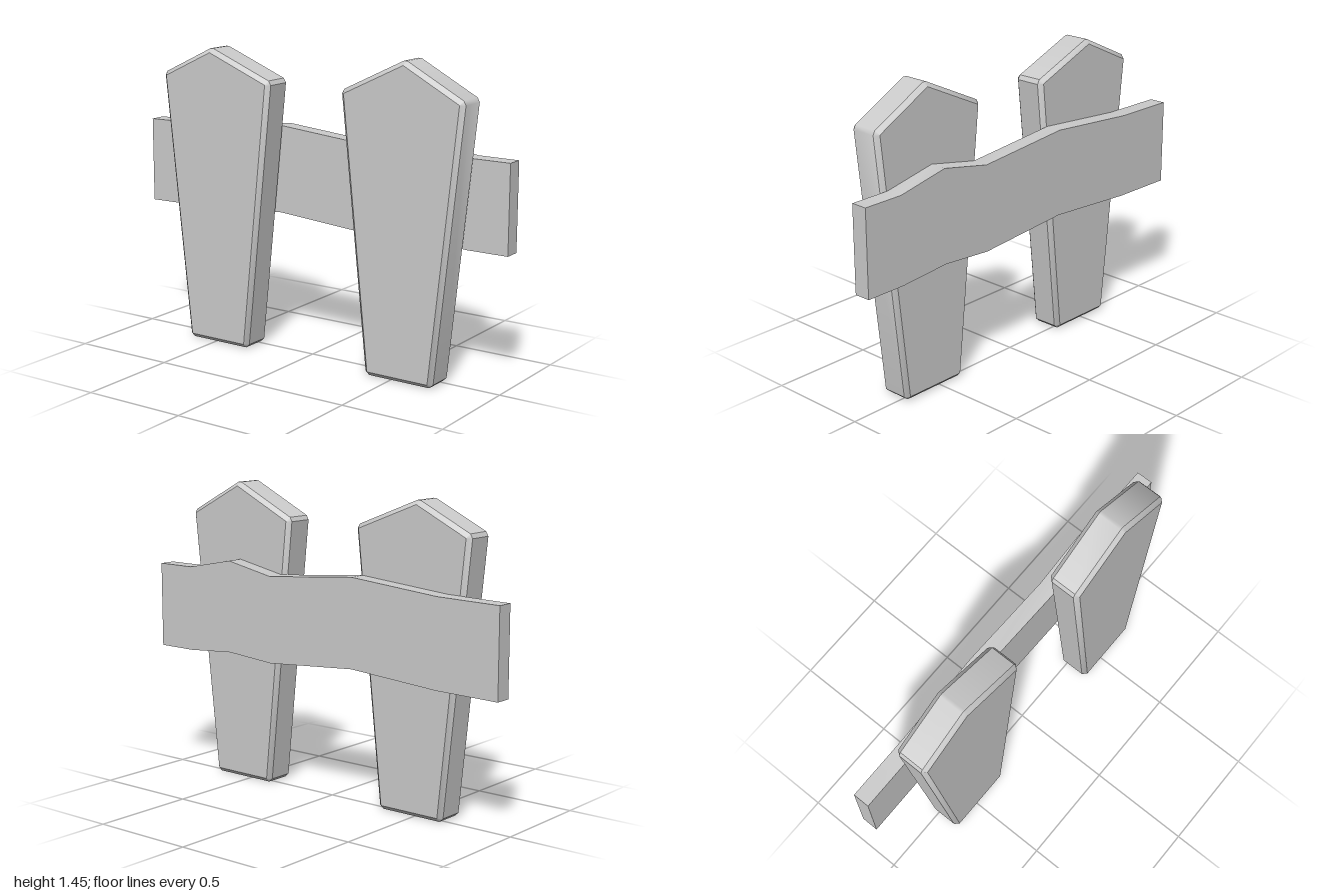
import * as THREE from 'three';
import { toCreasedNormals } from 'three/addons/utils/BufferGeometryUtils.js';
import { ConvexGeometry } from 'three/addons/geometries/ConvexGeometry.js';

const material = new THREE.MeshStandardMaterial({ color: 0xcccccc });
const BEVEL = 0.02;

// Bevelled picket: flat front and back faces, with each edge pushed out by the bevel.
// Corners run counter-clockwise.
function makePicket(name, corners) {
  const points = [];
  const n = corners.length;
  const edgeNormal = (i) => {
    const [ax, ay] = corners[i % n];
    const [bx, by] = corners[(i + 1) % n];
    return new THREE.Vector2(by - ay, ax - bx).normalize().multiplyScalar(BEVEL);
  };
  corners.forEach(([x, y], i) => {
    for (const z of [-0.04, 0.12]) points.push(new THREE.Vector3(x, y, z));
    for (const e of [edgeNormal(i + n - 1), edgeNormal(i)]) {
      for (const z of [-0.04 + BEVEL, 0.12 - BEVEL]) {
        points.push(new THREE.Vector3(x + e.x, y + e.y, z));
      }
    }
  });
  const mesh = new THREE.Mesh(toCreasedNormals(new ConvexGeometry(points), 0.6), material);
  mesh.name = name;
  return mesh;
}

// Warped rail: a segmented box whose cross-sections are moved up or down.
function makeRail() {
  // x, bottom, top of each section
  const sections = [
    [-1, 0.62, 1.033], [-0.68, 0.625, 1.038], [-0.21, 0.657, 1.077],
    [0.28, 0.62, 1.034], [0.54, 0.64, 1.085], [0.8, 0.62, 1.033], [1, 0.62, 1.033],
  ];
  const last = sections.length - 1;
  const geometry = new THREE.BoxGeometry(2, 1, 0.08, last, 1, 1);
  const pos = geometry.attributes.position;
  for (let i = 0; i < pos.count; i++) {
    const [x, bottom, top] = sections[Math.round((pos.getX(i) + 1) / 2 * last)];
    pos.setXYZ(i, x, pos.getY(i) > 0 ? top : bottom, pos.getZ(i) - 0.08);
  }
  geometry.computeVertexNormals();
  const mesh = new THREE.Mesh(geometry, material);
  mesh.name = 'rail';
  return mesh;
}

export function createModel() {
  const group = new THREE.Group();
  group.name = 'fenceSection';
  group.add(
    makeRail(),
    makePicket('rightPicket', [
      [-0.637, 0.02], [-0.322, 0.02], [-0.185, 1.288], [-0.505, 1.415], [-0.77, 1.288],
    ]),
    makePicket('leftPicket', [
      [0.383, 0.02], [0.7, 0.02], [0.835, 1.288], [0.555, 1.436], [0.248, 1.288],
    ]),
  );
  return group;
}
